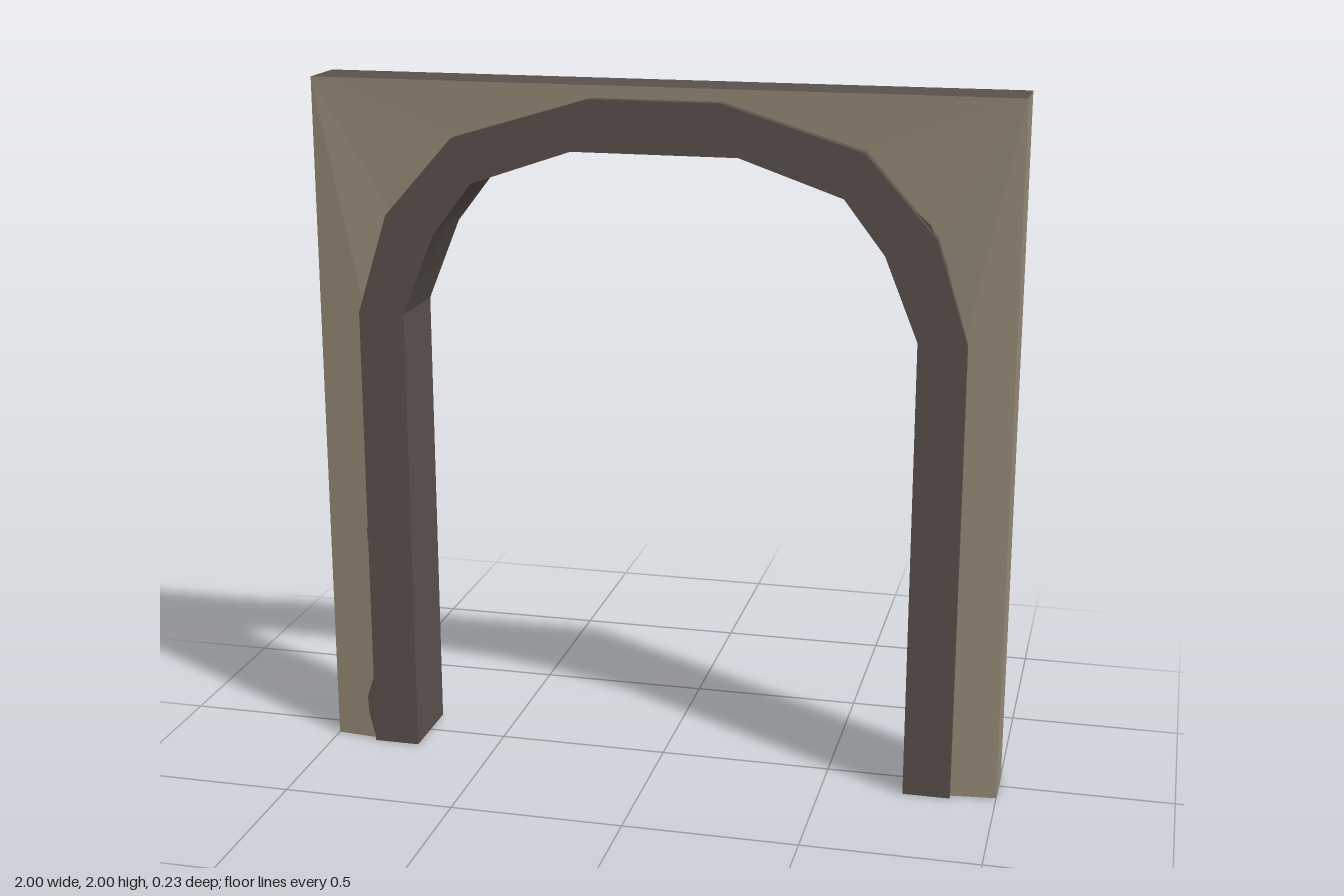
import * as THREE from 'three';
import { toCreasedNormals } from 'three/addons/utils/BufferGeometryUtils.js';

const mat = (name, color, side = THREE.FrontSide) => {
  const m = new THREE.MeshStandardMaterial({ color, side });
  m.name = name;
  return m;
};

export function createModel() {
  const group = new THREE.Group();
  const plaster = mat('plaster', 0x968a77);
  const stone = mat('darkStone', 0x5a514d);
  const stain = stone;

  const add = (name, geometry, material) => {
    const mesh = new THREE.Mesh(geometry, material);
    mesh.name = name;
    group.add(mesh);
    return mesh;
  };
  const triMesh = (name, corners, material) => {
    const g = new THREE.BufferGeometry();
    g.setAttribute('position', new THREE.Float32BufferAttribute(corners.flat(), 3));
    g.computeVertexNormals();
    return add(name, g, material);
  };
  const quad = (a, b, c, d) => [a, b, c, a, c, d];

  const T = 0.082;   // half thickness of the wall
  const L = 0.096;   // half thickness where the wall meets the trim
  const D = 0.115;   // half depth of the trim
  const SPRING = 1.335;

  // Wall faces: one half, mirrored to both sides, front and back
  const A = [1, 0, T], B = [1, SPRING, T], C = [1, 2, T], M = [0, 2, T];
  const p0 = [0.86, 0, L], p1 = [0.86, SPRING, L], p2 = [0.77, 1.62, T + 0.001],
    p3 = [0.575, 1.84, T], p4 = [0.18, 1.955, T], p5 = [0, 1.955, T];
  const half = [
    ...quad(p0, A, B, p1), p1, B, C, p1, C, p2, p2, C, p3, p3, C, p4, ...quad(p4, C, M, p5),
  ];
  const wall = [];
  for (const sx of [1, -1]) for (const sz of [1, -1]) {
    const pts = half.map(([x, y, z]) => [x * sx, y, z * sz]);
    for (let i = 0; i < pts.length; i += 3) {
      const [a, b, c] = pts.slice(i, i + 3);
      wall.push(...(sx * sz > 0 ? [a, b, c] : [a, c, b]));
    }
  }
  triMesh('wallFaces', wall, plaster);

  // Wall top and feet
  triMesh('wallTop', quad([-1, 2, T], [1, 2, T], [1, 2, -T], [-1, 2, -T]), stone);
  triMesh('leftFoot', quad([0.86, 0, -L], [1, 0, -T], [1, 0, T], [0.86, 0, L]), stone);
  triMesh('rightFoot', quad([-1, 0, -T], [-0.86, 0, -L], [-0.86, 0, L], [-1, 0, T]), stone);

  // Plain left end, banded right end
  triMesh('leftEnd', quad([1, 0, T], [1, 0, -T], [1, 2, -T], [1, 2, T]), plaster);
  for (let i = 0; i < 10; i++) {
    const y = i * 0.2, h = y + 0.2;
    triMesh('rightEndBand', quad([-1, y, -T], [-1, y, T], [-1, h, T], [-1, h, -T]),
      i % 2 ? stone : plaster);
  }

  // Trim legs
  for (const s of [1, -1]) {
    const leg = add(s > 0 ? 'leftTrimLeg' : 'rightTrimLeg',
      new THREE.BoxGeometry(0.135, SPRING, D * 2), stone);
    leg.position.set(s * 0.8025, SPRING / 2, 0);
  }

  // Trim arch head
  const outer = [[0.87, SPRING], [0.78, 1.62], [0.58, 1.845], [0.185, 1.965]];
  const inner = [[0.735, SPRING], [0.64, 1.57], [0.525, 1.72], [0.235, 1.82]];
  const mirror = (pts) => pts.map(([x, y]) => [-x, y]).reverse();
  const outline = [...outer, ...mirror(outer), ...inner.map(([x, y]) => [-x, y]),
    ...inner.slice().reverse()];
  const toShape = (pts) => new THREE.Shape(pts.map(([x, y]) => new THREE.Vector2(x, y)));
  const head = new THREE.ExtrudeGeometry(toShape(outline), { depth: D * 2, bevelEnabled: false });
  head.translate(0, 0, -D);
  add('trimArch', toCreasedNormals(head, 0.7), stone);

  // Ragged stains beside the trim, following the slope of the wall
  const stains = [
    [[-0.865, 0], [-0.865, 0.21], [-0.88, 0.19], [-0.9, 0.13], [-0.897, 0.08], [-0.88, 0.01]],
    [[-0.865, 0.58], [-0.865, 0.72], [-0.88, 0.67], [-0.88, 0.64]],
    [[0.72, 1.69], [0.76, 1.655], [0.77, 1.63], [0.805, 1.55], [0.82, 1.48], [0.8, 1.5], [0.76, 1.6]],
  ];
  for (const pts of stains) for (const s of [1, -1]) {
    const g = new THREE.ShapeGeometry(toShape(pts));
    const p = g.attributes.position;
    for (let i = 0; i < p.count; i++) {
      p.setZ(i, L + 0.001 - 0.1 * Math.max(0, Math.abs(p.getX(i)) - 0.86));
    }
    g.computeVertexNormals();
    add('stain', g, stain).scale.z = s;
  }

  return group;
}
